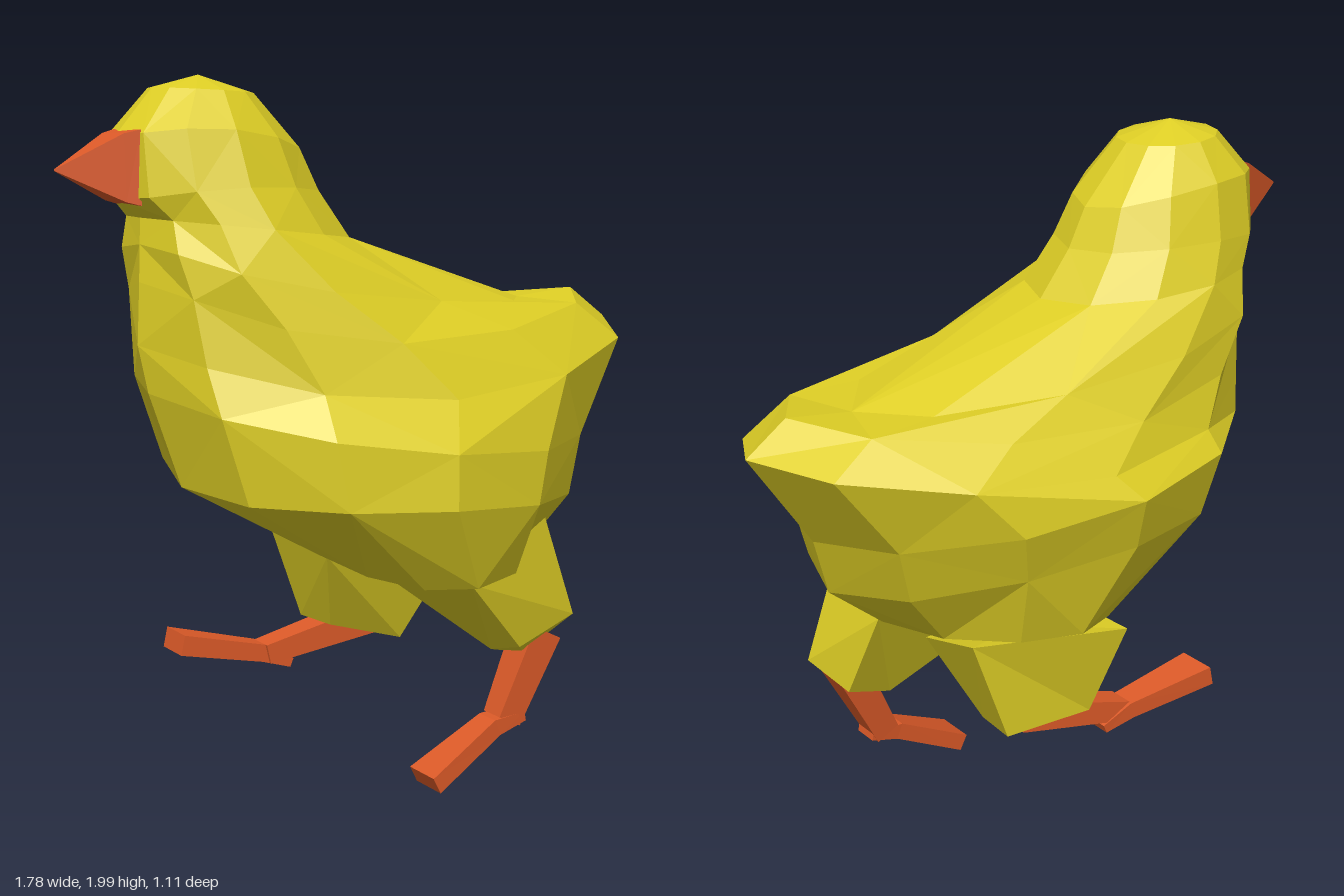
import * as THREE from 'three';

const V = (x, y, z) => new THREE.Vector3(x, y, z);

// Faceted skin through closed loops, each counterclockwise about the direction of travel
function loft(rings, startTip, endTip) {
  const n = rings[0].length, pos = [];
  const tri = (...pts) => pts.forEach(p => pos.push(p.x, p.y, p.z));
  const centre = r => r.reduce((s, p) => s.add(p), V(0, 0, 0)).divideScalar(n);
  const first = rings[0], last = rings[rings.length - 1];
  const a = startTip || centre(first), b = endTip || centre(last);
  for (let i = 0; i < n; i++) {
    const j = (i + 1) % n;
    tri(a, first[j], first[i]);
    for (let k = 0; k < rings.length - 1; k++) {
      const lo = rings[k], hi = rings[k + 1];
      if ((i + k) % 2) {
        tri(lo[i], lo[j], hi[j]); tri(lo[i], hi[j], hi[i]);
      } else {
        tri(lo[i], lo[j], hi[i]); tri(lo[j], hi[j], hi[i]);
      }
    }
    tri(b, last[i], last[j]);
  }
  const g = new THREE.BufferGeometry();
  g.setAttribute('position', new THREE.Float32BufferAttribute(pos, 3));
  g.computeVertexNormals();
  return g;
}

// Tapering square bar; stations are [x, y, z, half thickness, half width]
function bar(stations) {
  const rings = stations.map(([x, y, z, h, w], i) => {
    const p = stations[Math.max(i - 1, 0)], q = stations[Math.min(i + 1, stations.length - 1)];
    const d = V(q[0] - p[0], q[1] - p[1], 0).normalize();
    return [[1, 1], [-1, 1], [-1, -1], [1, -1]].map(([u, s]) => V(x - d.y * h * u, y + d.x * h * u, z + s * w));
  });
  return loft(rings);
}

export function createModel() {
  const group = new THREE.Group();
  const yellow = new THREE.MeshStandardMaterial({ color: 0xdece25 });
  yellow.name = 'yellow down';
  const orange = new THREE.MeshStandardMaterial({ color: 0xdc5a28 });
  orange.name = 'orange skin';
  const add = (name, geometry, material) => {
    const m = new THREE.Mesh(geometry, material);
    m.name = name;
    group.add(m);
  };

  // Body, neck and head: tilted loops from breast edge to back edge
  // [front x, front y, rear x, rear y, half width, centre z, side shift x, side shift y, roll]
  const sections = [
    [-0.15, 0.65, 0.46, 0.67, 0.45, 0.02, -0.06, 0.0, 0.1],
    [-0.58, 0.89, 0.63, 0.81, 0.53, 0.02, -0.05, 0.06, 0.1],
    [-0.66, 1.15, 0.69, 0.99, 0.545, -0.01, -0.03, -0.01, 0.1],
    [-0.68, 1.28, 0.89, 1.28, 0.47, -0.03, -0.06, -0.12, 0.05],
    [-0.67, 1.45, 0.77, 1.37, 0.41, -0.035, -0.14, -0.12, 0],
    [-0.66, 1.55, 0.58, 1.35, 0.36, -0.05, -0.22, -0.02, 0],
    [-0.65, 1.62, -0.03, 1.55, 0.3, -0.065, -0.06, 0.01, 0],
    [-0.71, 1.67, -0.12, 1.68, 0.26, -0.075, -0.03, 0.03, 0],
    [-0.71, 1.84, -0.17, 1.79, 0.215, -0.08, -0.02, 0.04, 0],
    [-0.6, 1.965, -0.31, 1.95, 0.14, -0.085, 0, 0, 0]
  ];
  const sides = 12;
  const rings = sections.map(([fx, fy, rx, ry, w, cz, sx, sy, roll]) =>
    Array.from({ length: sides }, (_, i) => {
      const a = i / sides * Math.PI * 2, t = (1 - Math.cos(a)) / 2, s = Math.sin(a);
      return V(fx + (rx - fx) * t + sx * s * s, fy + (ry - fy) * t + sy * s * s - roll * w * s, cz + w * s);
    }));
  add('body', loft(rings, V(0.15, 0.55, 0.01), V(-0.46, 2, -0.09)), yellow);

  // Beak
  add('beak', bar([[-0.68, 1.755, -0.07, 0.1, 0.085], [-0.72, 1.755, -0.07, 0.09, 0.07],
    [-0.893, 1.75, -0.065, 0.002, 0.002]]), orange);

  // Thighs, one back and one lifted forward
  add('leftThigh', loft([
    [V(0.3, 0.4, 0.38), V(0.54, 0.45, 0.31), V(0.5, 0.4, 0.15), V(0.34, 0.34, 0.18)],
    [V(0.07, 0.63, 0.47), V(0.43, 0.76, 0.31), V(0.46, 0.67, 0.04), V(0.06, 0.57, 0.03)]
  ], V(0.39, 0.345, 0.27)), yellow);
  add('rightThigh', loft([
    [V(-0.02, 0.39, -0.14), V(0.2, 0.33, -0.1), V(0.25, 0.37, -0.29), V(-0.02, 0.38, -0.32)],
    [V(-0.1, 0.63, -0.02), V(0.34, 0.6, -0.02), V(0.36, 0.68, -0.28), V(-0.08, 0.66, -0.41)]
  ]), yellow);

  // Shanks and feet
  add('leftShank', bar([[0.44, 0.41, 0.27, 0.05, 0.055], [0.315, 0.16, 0.275, 0.04, 0.04]]), orange);
  add('leftFoot', bar([[0.37, 0.168, 0.275, 0.014, 0.04], [0.27, 0.15, 0.28, 0.025, 0.04],
    [0.035, 0.03, 0.3, 0.026, 0.062]]), orange);
  add('rightShank', bar([[0.16, 0.385, -0.21, 0.045, 0.05], [-0.19, 0.305, -0.25, 0.03, 0.04]]), orange);
  add('rightFoot', bar([[-0.11, 0.268, -0.25, 0.014, 0.035], [-0.2, 0.308, -0.26, 0.026, 0.04],
    [-0.46, 0.365, -0.295, 0.03, 0.06]]), orange);
  return group;
}
